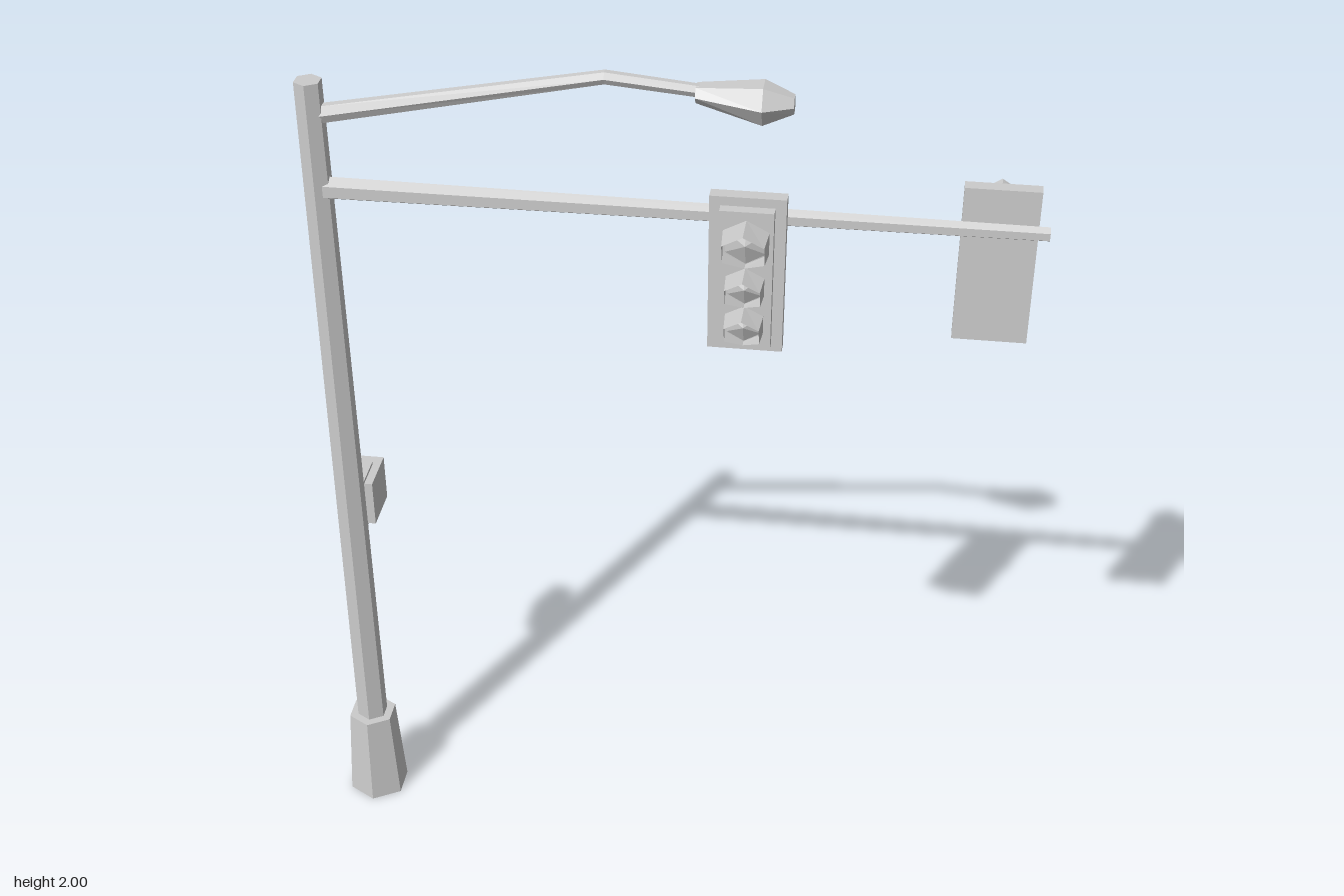
import * as THREE from 'three';

const POLE_X = -0.735;
const AXIS_Z = 0.012;
const SIDES = 6;

const metal = new THREE.MeshStandardMaterial({ color: 0xcccccc, flatShading: true });
const thin = new THREE.MeshStandardMaterial({ color: 0xcccccc, flatShading: true, side: THREE.DoubleSide });

function add(parent, name, geometry, x = 0, y = 0, z = 0, material = metal) {
  const mesh = new THREE.Mesh(geometry, material);
  mesh.name = name;
  mesh.position.set(x, y, z);
  parent.add(mesh);
  return mesh;
}

function fromTriangles(indices, points) {
  const geometry = new THREE.BufferGeometry();
  geometry.setAttribute('position', new THREE.Float32BufferAttribute(points, 3));
  geometry.setIndex(indices);
  const flat = geometry.toNonIndexed();
  flat.computeVertexNormals();
  return flat;
}

// Six-sided solid along x; each ring is [x, y, half height, half depth]
function loft(rings, turn = 0) {
  const points = [];
  const faces = [];
  for (const [x, y, h, d] of rings) {
    for (let j = 0; j < SIDES; j++) {
      const a = turn + (j / SIDES) * Math.PI * 2;
      points.push(x, y + h * Math.cos(a), d * Math.sin(a));
    }
  }
  for (let i = 0; i < rings.length - 1; i++) {
    for (let j = 0; j < SIDES; j++) {
      const k = (j + 1) % SIDES;
      const a = i * SIDES + j, b = i * SIDES + k;
      faces.push(a, b, b + SIDES, a, b + SIDES, a + SIDES);
    }
  }
  const end = (rings.length - 1) * SIDES;
  for (let j = 1; j < SIDES - 1; j++) {
    faces.push(0, j + 1, j, end, end + j, end + j + 1);
  }
  return fromTriangles(faces, points);
}

// Open hexagonal hood, long at the top and cut back towards the bottom
function hoodGeometry(r, reach) {
  const points = [];
  const faces = [];
  for (let j = 0; j < SIDES; j++) {
    const a = (j / SIDES) * Math.PI * 2;
    const x = r * Math.sin(a), y = r * Math.cos(a);
    const t = y / r;
    const depth = t > 0.9 ? reach : t > 0 ? reach * 0.93 : t > -0.9 ? reach * 0.64 : reach * 0.27;
    points.push(x * 1.1, y, 0, x, y, depth);
  }
  for (let j = 0; j < SIDES; j++) {
    const a = j * 2, b = ((j + 1) % SIDES) * 2;
    faces.push(a, a + 1, b + 1, a, b + 1, b);
  }
  return fromTriangles(faces, points);
}

function makeSignal(name) {
  const signal = new THREE.Group();
  signal.name = name;
  add(signal, 'backplate', new THREE.BoxGeometry(0.158, 0.357, 0.03), 0, 1.592, 0.052);
  add(signal, 'signalHousing', new THREE.BoxGeometry(0.112, 0.317, 0.024), 0, 1.592, 0.079);
  const lamps = [['upper', 1.682, 0.05, 0.074], ['middle', 1.58, 0.042, 0.067], ['lower', 1.49, 0.042, 0.067]];
  for (const [place, y, r, reach] of lamps) {
    add(signal, place + 'Hood', hoodGeometry(r, reach), 0, y, 0.09, thin);
    // Shallow faceted lens at the back of the hood
    const lens = new THREE.ConeGeometry(r * 0.98, 0.018, SIDES);
    lens.rotateX(Math.PI / 2);
    add(signal, place + 'Lens', lens, 0, y, 0.1);
  }
  return signal;
}

export function createModel() {
  const model = new THREE.Group();
  model.name = 'trafficSignalPole';

  // Everything is laid out around the vertical plane of the pole
  const body = new THREE.Group();
  body.name = 'poleAssembly';
  body.position.z = AXIS_Z;
  model.add(body);

  // Pole and its flared foot
  add(body, 'poleBase', new THREE.CylinderGeometry(0.058, 0.073, 0.235, SIDES), POLE_X, 0.1175, 0);
  add(body, 'pole', new THREE.CylinderGeometry(0.03, 0.037, 1.71, SIDES), POLE_X, 1.085, 0);

  // Long tapering arm that carries the signals
  add(body, 'signalArm', loft([
    [POLE_X + 0.01, 1.696, 0.026, 0.026],
    [0.79, 1.697, 0.016, 0.016],
  ]));

  // Bent arm and lamp head
  const sideways = Math.PI / 6;
  add(body, 'lampArm', loft([
    [POLE_X + 0.01, 1.865, 0.022, 0.018],
    [-0.12, 1.985, 0.015, 0.014],
    [0.09, 1.966, 0.014, 0.013],
  ], sideways));
  add(body, 'lampHead', loft([
    [0.065, 1.963, 0.019, 0.028],
    [0.2, 1.95, 0.046, 0.047],
    [0.262, 1.95, 0.02, 0.02],
  ], sideways));

  // Two signals facing opposite ways
  const frontSignal = makeSignal('frontSignal');
  frontSignal.position.x = 0.18;
  const backSignal = makeSignal('backSignal');
  backSignal.position.x = 0.69;
  backSignal.rotation.y = Math.PI;
  body.add(frontSignal, backSignal);

  // Control box behind the pole, held by two straps
  add(body, 'controlBox', new THREE.BoxGeometry(0.06, 0.115, 0.113), POLE_X, 0.818, -0.134);
  for (const [name, y] of [['upperStrap', 0.879], ['lowerStrap', 0.759]]) {
    add(body, name, new THREE.BoxGeometry(0.022, 0.007, 0.135), POLE_X, y, -0.09);
  }

  return model;
}
